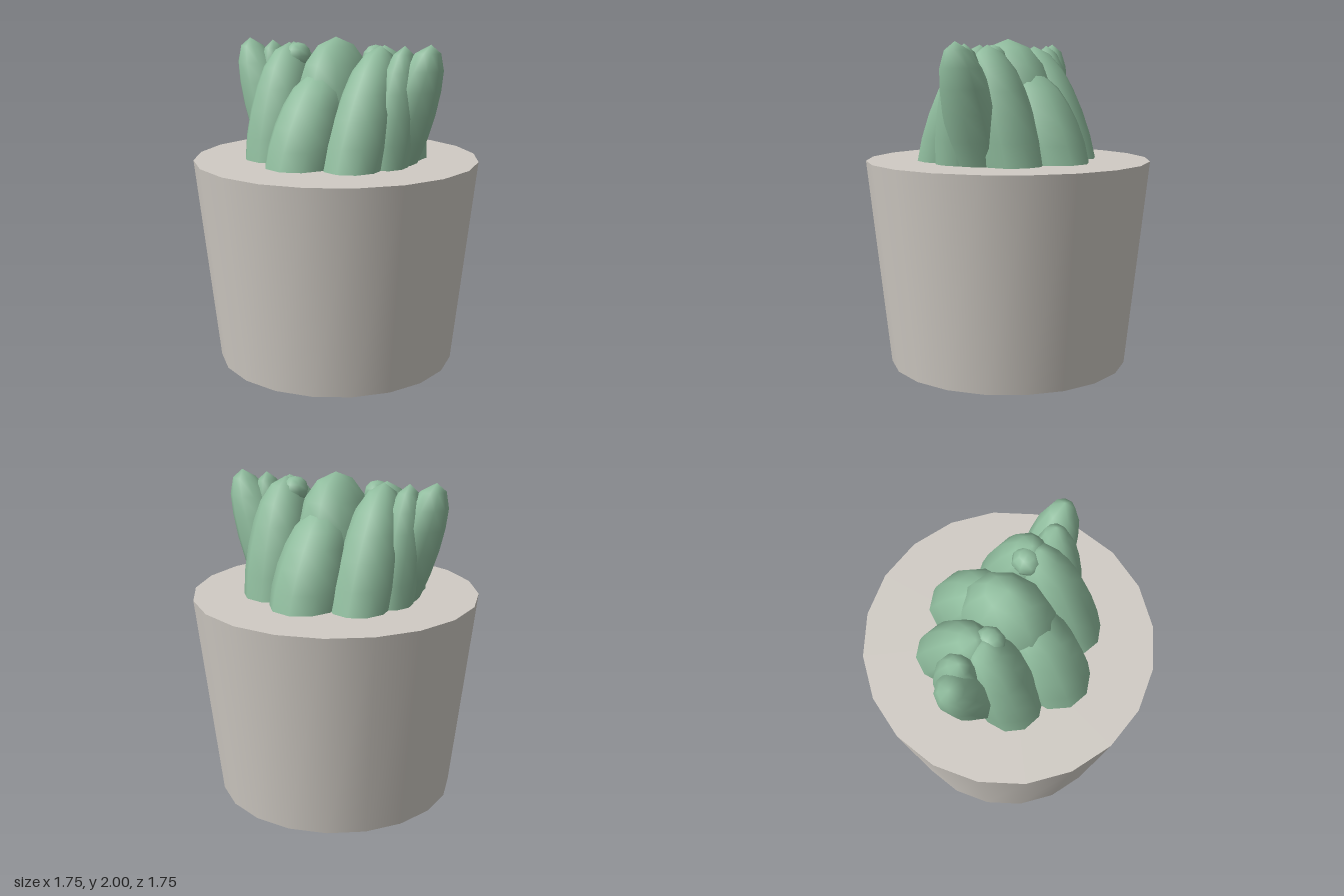
import * as THREE from 'three';
import { mergeVertices } from 'three/addons/utils/BufferGeometryUtils.js';

const SOIL = 1.265;
const potMaterial = new THREE.MeshStandardMaterial({ color: 0xd0cbc4 });
const leafMaterial = new THREE.MeshStandardMaterial({ color: 0x8fbc9d });

// Height fraction and radius factor along a plump, blunt leaf
const PROFILE = [[-0.08, 0.96], [0.2, 1.03], [0.42, 1], [0.62, 0.9], [0.79, 0.74], [0.93, 0.44], [1, 0]];

// A leaf rising from the soil at base [x, z] and leaning to tip [x, y, z]
function leaf(name, base, tip, rx, rz) {
  const height = tip[1] - SOIL;
  const lathe = new THREE.LatheGeometry(PROFILE.map(([t, r]) => new THREE.Vector2(r, t)), 10);
  lathe.deleteAttribute('uv');
  lathe.deleteAttribute('normal');
  const geometry = mergeVertices(lathe);
  const p = geometry.attributes.position;
  for (let i = 0; i < p.count; i++) {
    const t = p.getY(i);
    p.setXYZ(i,
      p.getX(i) * rx + base[0] + (tip[0] - base[0]) * t,
      SOIL + height * t,
      p.getZ(i) * rz + base[1] + (tip[2] - base[1]) * t);
  }
  geometry.computeVertexNormals();
  const mesh = new THREE.Mesh(geometry, leafMaterial);
  mesh.name = name;
  return mesh;
}

// Half of the rosette; the other half is the same turned by 180 degrees
function halfRosette(name) {
  const half = new THREE.Group();
  half.name = name;
  half.add(
    leaf('frontLeaf', [-0.06, 0.34], [-0.01, 1.82, 0.13], 0.21, 0.225),
    leaf('frontLeftLeaf', [0.26, 0.27], [0.31, 1.96, 0.02], 0.18, 0.2),
    leaf('frontRightLeaf', [-0.32, 0.2], [-0.31, 1.96, 0.03], 0.19, 0.19),
    leaf('sideLeaf', [0.4, 0.11], [0.47, 1.965, 0.03], 0.13, 0.15),
    leaf('endLeaf', [-0.36, 0.02], [-0.62, 1.975, 0], 0.17, 0.16)
  );
  // Small bud between the leaf tips
  const bud = new THREE.Mesh(new THREE.SphereGeometry(0.08, 8, 6), leafMaterial);
  bud.name = 'bud';
  bud.position.set(-0.25, 1.88, 0.03);
  bud.scale.set(1, 1, 1.1);
  half.add(bud);
  return half;
}

export function createModel() {
  const model = new THREE.Group();
  model.name = 'pottedSucculent';

  const pot = new THREE.Mesh(new THREE.CylinderGeometry(0.873, 0.735, SOIL, 20), potMaterial);
  pot.name = 'pot';
  pot.position.y = SOIL / 2;
  model.add(pot);

  const plant = new THREE.Group();
  plant.name = 'succulent';
  const back = halfRosette('backLeaves');
  back.rotation.y = Math.PI;
  plant.add(leaf('centreLeaf', [0, 0], [0, 2, 0], 0.24, 0.31), halfRosette('frontLeaves'), back);
  model.add(plant);
  return model;
}
